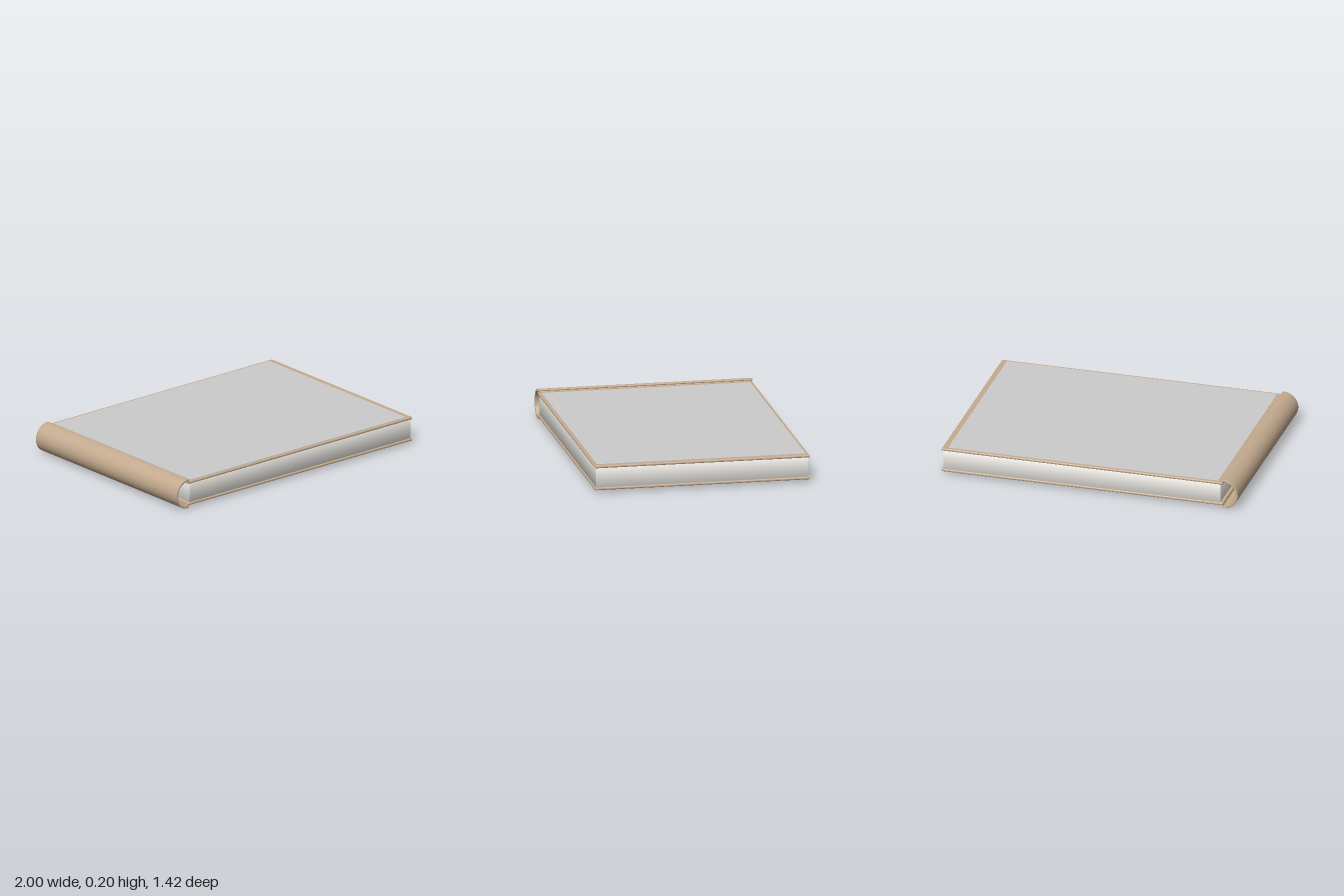
import * as THREE from 'three';
import { RoundedBoxGeometry } from 'three/addons/geometries/RoundedBoxGeometry.js';

const material = (color) => new THREE.MeshStandardMaterial({ color });

export function createModel() {
  const book = new THREE.Group();
  book.name = 'book';
  const leather = material(0xc4ab8f);
  const paper = material(0xeae8e2);
  const grey = material(0xcccccc);
  const midY = 0.105;
  const depth = 1.42;

  function add(name, geometry, mat, x, y, z = 0) {
    const mesh = new THREE.Mesh(geometry, mat);
    mesh.name = name;
    mesh.position.set(x, y, z);
    book.add(mesh);
    return mesh;
  }

  // Two boards with softly rounded edges
  for (const [name, side] of [['frontCover', 1], ['backCover', -1]]) {
    add(name, new RoundedBoxGeometry(1.9, 0.017, depth, 3, 0.007), leather, 0.05, midY + side * 0.0735);
  }

  // Page block, with side normals tipped up and down for a soft rounded look
  const pages = new THREE.BoxGeometry(1.87, 0.134, 1.4);
  const pos = pages.attributes.position;
  const normal = pages.attributes.normal;
  const n = new THREE.Vector3();
  for (let i = 0; i < pos.count; i++) {
    n.fromBufferAttribute(normal, i);
    if (Math.abs(n.y) < 0.5) n.y = Math.sign(pos.getY(i)) * 0.4;
    n.normalize();
    normal.setXYZ(i, n.x, n.y, n.z);
  }
  add('pages', pages, paper, 0.055, midY);

  // Inlaid panel on the front board
  add('coverPanel', new THREE.BoxGeometry(1.826, 0.003, 1.38), grey, 0.048, midY + 0.0825);

  // Half-round spine, open towards the pages, with rounded lips
  const outer = 0.1, inner = 0.085, lip = (outer - inner) / 2;
  const profile = new THREE.Shape();
  profile.absarc(0, 0, outer, Math.PI / 2, Math.PI * 1.5, false);
  profile.absarc(0, -(outer - lip), lip, -Math.PI / 2, Math.PI / 2, false);
  profile.absarc(0, 0, inner, Math.PI * 1.5, Math.PI / 2, true);
  profile.absarc(0, outer - lip, lip, -Math.PI / 2, Math.PI / 2, false);
  const bevel = 0.002;
  const spine = new THREE.ExtrudeGeometry(profile, {
    depth: depth - 2 * bevel, curveSegments: 32,
    bevelEnabled: true, bevelThickness: bevel, bevelSize: bevel, bevelOffset: -bevel, bevelSegments: 1,
  });
  spine.translate(0, 0, -depth / 2 + bevel);
  // Fine arc steps plus radial normals keep the barrel smooth
  const sp = spine.attributes.position;
  const sn = spine.attributes.normal;
  for (let i = 0; i < sp.count; i++) {
    const x = sp.getX(i), y = sp.getY(i), r = Math.hypot(x, y);
    if (x > 0.0005 || Math.abs(sn.getZ(i)) > 0.1) continue;
    const s = Math.sign(sn.getX(i) * x + sn.getY(i) * y) || 1;
    sn.setXYZ(i, (s * x) / r, (s * y) / r, 0);
  }
  add('spine', spine, leather, -0.9, midY);

  // Narrow hinge strips joining the spine lips to the boards
  for (const side of [1, -1]) {
    const hinge = new THREE.CylinderGeometry(0.006, 0.006, depth - 0.004, 12).rotateX(Math.PI / 2);
    add(side > 0 ? 'frontHinge' : 'backHinge', hinge, leather, -0.896, midY + side * 0.082);
  }

  // Rest the spine on the ground
  for (const part of book.children) part.position.y -= midY - outer;
  return book;
}
